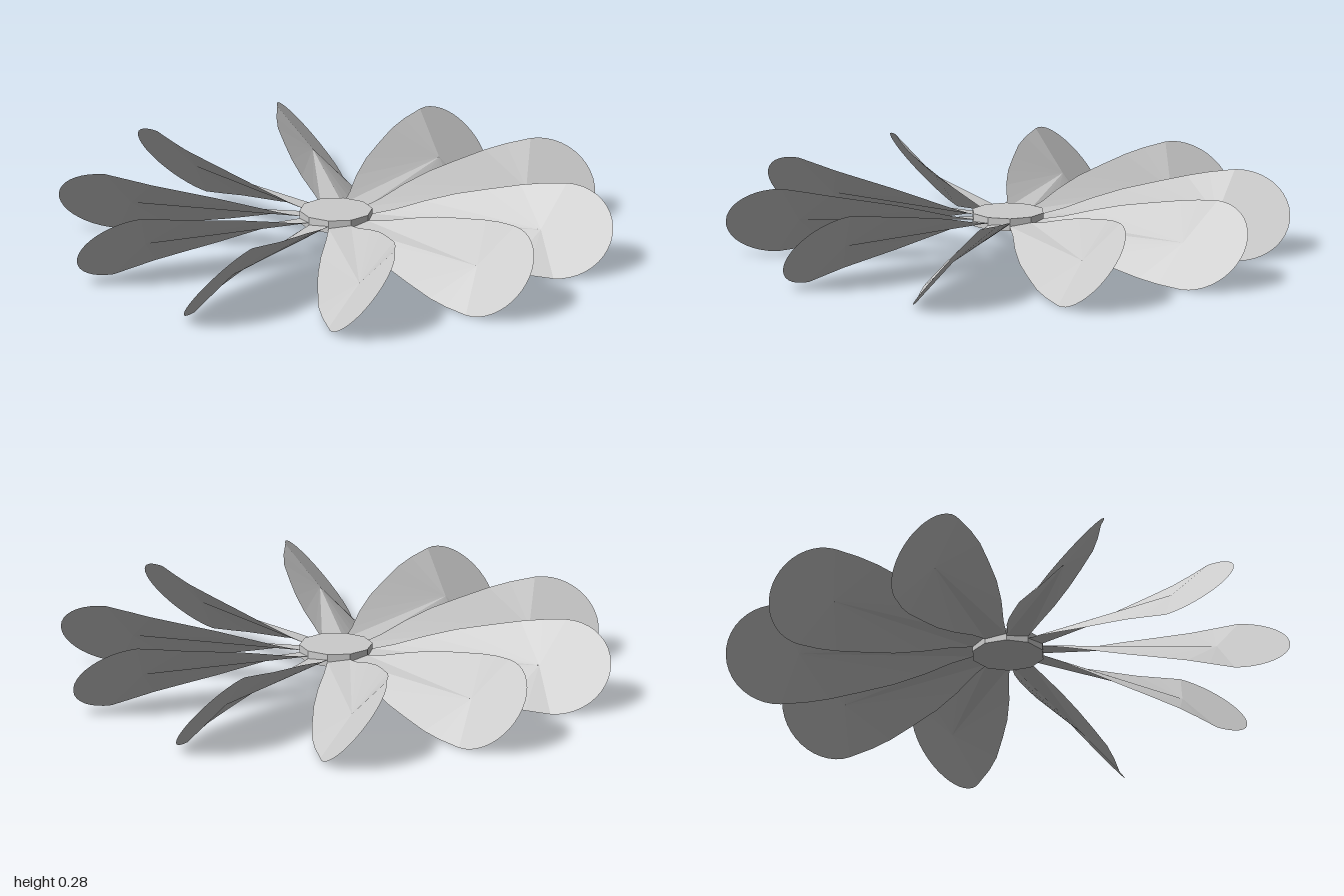
import * as THREE from 'three';

const COUNT = 10;      // petals, and sides of the hub
const MID = 0.14;      // height of the petal axes
const material = new THREE.MeshStandardMaterial({ color: 0xcccccc, flatShading: true, side: THREE.DoubleSide });

// One twisted petal along +z: flat at the hub, tilted about 50 degrees at the tip
function petalGeometry() {
  // raised edge from tip end to root: [sideways, rise, distance from centre]
  const edge = [];
  for (let i = 0; i <= 10; i++) {
    const a = (i / 10) * Math.PI / 2;
    edge.push([0.118 * Math.sin(a), 0.14 * Math.sin(a), 0.81 + 0.19 * Math.cos(a)]);
  }
  edge.push(
    [0.131, 0.129, 0.72], [0.135, 0.116, 0.64], [0.124, 0.095, 0.52],
    [0.111, 0.075, 0.41], [0.088, 0.048, 0.30], [0.058, 0.02, 0.20], [0.04, 0.004, 0.122]
  );
  // the lowered edge is the raised one turned half round the petal axis
  const lower = edge.slice(1).reverse().map(([x, y, z]) => [-x, -y, z]);
  const loop = [...edge, ...lower];

  // facets fan out from a point on the axis, leaving a slim rib to the root
  const apex = [0, 0, 0.74];
  const points = [];
  loop.forEach((p, i) => points.push(...apex, ...p, ...loop[(i + 1) % loop.length]));
  const geometry = new THREE.BufferGeometry();
  geometry.setAttribute('position', new THREE.Float32BufferAttribute(points, 3));
  geometry.computeVertexNormals();
  return geometry;
}

export function createModel() {
  const model = new THREE.Group();
  model.name = 'flower';

  // Hub disc, one flat side per petal
  const hub = new THREE.Mesh(
    new THREE.CylinderGeometry(0.13, 0.13, 0.045, COUNT, 1, false, Math.PI / COUNT), material);
  hub.name = 'hub';
  hub.position.y = MID + 0.002;
  model.add(hub);

  // Ring of petals
  const geometry = petalGeometry();
  for (let i = 0; i < COUNT; i++) {
    const petal = new THREE.Mesh(geometry, material);
    petal.name = `petal${i + 1}`;
    petal.position.y = MID;
    petal.rotation.y = (i / COUNT) * Math.PI * 2;
    model.add(petal);
  }
  return model;
}
